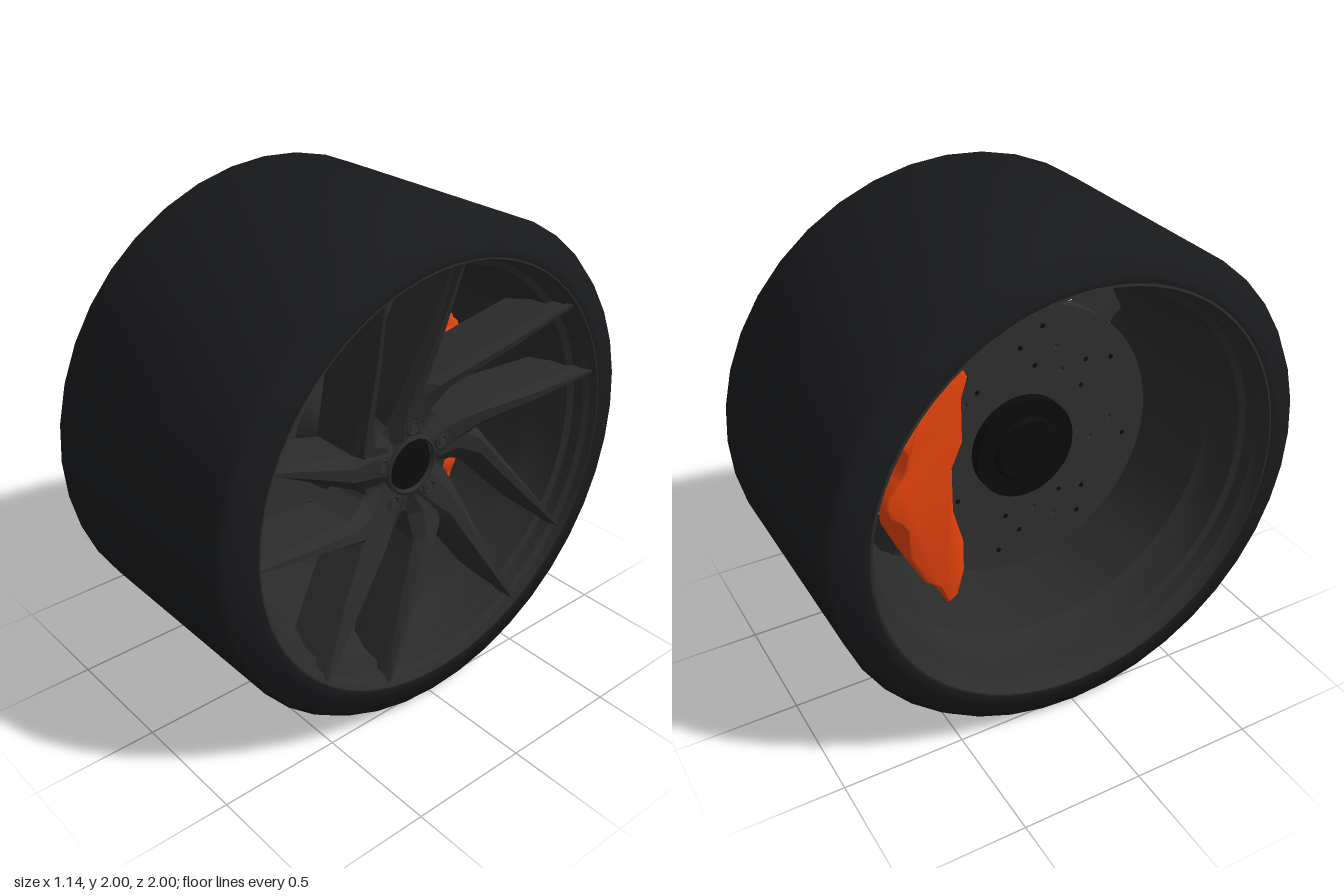
import * as THREE from 'three';
import { toCreasedNormals } from 'three/addons/utils/BufferGeometryUtils.js';

const mat = (color, side = THREE.FrontSide) => new THREE.MeshStandardMaterial({ color, side });
const V2 = (p) => new THREE.Vector2(p[0], p[1]);

function add(parent, name, geometry, material, x = 0, y = 0, z = 0) {
  const mesh = new THREE.Mesh(geometry, material);
  mesh.name = name;
  mesh.position.set(x, y, z);
  parent.add(mesh);
  return mesh;
}

// Revolved profile of [radius, axial] points around the z axis
function revolve(points, sides, crease = 0.6) {
  const g = new THREE.LatheGeometry(points.map(V2), sides).rotateX(Math.PI / 2);
  return toCreasedNormals(g, crease);
}

// Cylinder along z, spanning back to front
function drum(radius, back, front, sides = 32, radiusBack = radius) {
  return new THREE.CylinderGeometry(radius, radiusBack, front - back, sides)
    .rotateX(Math.PI / 2).translate(0, 0, (front + back) / 2);
}

// Chamfered blade through stations [leftX, leftY, rightX, rightY, front, back]
function blade(stations) {
  const pos = [];
  const rings = stations.map(([lx, ly, rx, ry, f, b]) => {
    const at = (t, z) => [lx + (rx - lx) * t, ly + (ry - ly) * t, z];
    return [at(0.05, b), at(0, f - 0.035), at(0.3, f), at(0.7, f), at(1, f - 0.035), at(0.95, b)];
  });
  for (let s = 0; s < rings.length - 1; s++) {
    const a = rings[s], c = rings[s + 1];
    for (let i = 0; i < 6; i++) {
      const j = (i + 1) % 6;
      pos.push(...a[i], ...a[j], ...c[i], ...a[j], ...c[j], ...c[i]);
    }
  }
  const g = new THREE.BufferGeometry();
  g.setAttribute('position', new THREE.Float32BufferAttribute(pos, 3));
  return toCreasedNormals(g, 0.3);
}

export function createModel() {
  const model = new THREE.Group();
  model.name = 'wheel';
  // Built facing +z, then turned so the spoked face looks along +x
  const wheel = new THREE.Group();
  wheel.name = 'wheelAssembly';
  wheel.position.y = 1;
  wheel.rotation.y = Math.PI / 2;
  model.add(wheel);

  const rubber = mat(0x191a1c, THREE.DoubleSide);
  const alloy = mat(0x2b2b2b);
  const alloyOpen = mat(0x2b2b2b, THREE.DoubleSide);
  const steel = mat(0x2f2f2f);
  const black = mat(0x0c0c0c);
  const orange = mat(0xe5430d);

  // Tyre: tread, shoulders and sidewalls
  const side = [[1, 0.5], [0.975, 0.54], [0.9, 0.556], [0.885, 0.568], [0.858, 0.565]];
  const tyreProfile = [...side.map(([r, z]) => [r, -z]).reverse(), ...side];
  add(wheel, 'tyre', revolve(tyreProfile, 40, 1.2), rubber);

  // Rim barrel with stepped lips and bead seats
  add(wheel, 'rimBarrel', revolve([
    [0.86, -0.565], [0.85, -0.568], [0.842, -0.53], [0.825, -0.51], [0.82, -0.46], [0.795, -0.445],
    [0.785, -0.34], [0.765, -0.3], [0.757, -0.29], [0.757, 0.26], [0.765, 0.3], [0.798, 0.38],
    [0.803, 0.45], [0.828, 0.465], [0.832, 0.51], [0.85, 0.53], [0.853, 0.566], [0.86, 0.565],
  ], 64), alloyOpen);

  // Five hub arms, each splitting into a straight and a swept spoke
  const straight = blade([
    [-0.1, 0.1, 0.1, 0.1, 0.375, 0.17], [-0.105, 0.2, 0.09, 0.22, 0.385, 0.17],
    [-0.078, 0.32, 0.052, 0.34, 0.42, 0.18], [-0.01, 0.58, 0.067, 0.58, 0.485, 0.24],
    [0.056, 0.852, 0.08, 0.852, 0.545, 0.31],
  ]);
  const swept = blade([
    [-0.06, 0.16, 0.12, 0.13, 0.37, 0.17], [-0.03, 0.29, 0.13, 0.2, 0.385, 0.17],
    [0.05, 0.335, 0.19, 0.285, 0.42, 0.18], [0.365, 0.437, 0.425, 0.39, 0.485, 0.24],
    [0.674, 0.54, 0.692, 0.515, 0.545, 0.31],
  ]);
  for (let i = 0; i < 5; i++) {
    const arm = new THREE.Group();
    arm.name = 'spokePair';
    arm.rotation.z = (i * Math.PI * 2) / 5;
    wheel.add(arm);
    add(arm, 'straightSpoke', straight, alloy);
    add(arm, 'sweptSpoke', swept, alloy);
    add(arm, 'boltSeat', new THREE.TorusGeometry(0.026, 0.007, 6, 16), alloy, 0, 0.16, 0.38);
    add(arm, 'wheelBolt', drum(0.017, 0.35, 0.388, 6), steel, 0, 0.16, 0);
  }

  // Five-sided hub with flat pocket walls, and centre cap
  const hub = add(wheel, 'hub', toCreasedNormals(drum(0.265, 0.14, 0.35, 5, 0.29), 0.3), alloy);
  hub.rotation.z = Math.PI;
  add(wheel, 'hubRing', revolve([[0.125, 0.33], [0.122, 0.382], [0.112, 0.387], [0.1, 0.365]], 32), alloyOpen);
  add(wheel, 'centreCap', drum(0.103, 0.32, 0.372), black);

  // Brake disc, with some holes drilled through and the rest left blind
  const discShape = new THREE.Shape().absarc(0, 0, 0.59, 0, Math.PI * 2);
  const drillRows = [
    { r: 0.336, through: [4, 11, 17, 23, 30], first: 1 },
    { r: 0.42, through: [5, 10, 16, 22], first: 0 },
    { r: 0.5, through: [], first: 1 },
  ];
  for (const { r, through, first } of drillRows) {
    for (let i = 0; i < 32; i++) {
      const a = (i * Math.PI) / 16;
      const x = r * Math.cos(a), y = r * Math.sin(a);
      if (through.includes(i)) {
        discShape.holes.push(new THREE.Path().absarc(x, y, 0.012, 0, Math.PI * 2, true));
      } else if (i % 4 === first) {
        add(wheel, 'blindHole', drum(0.011, -0.081, -0.009, 8), black, x, y);
      }
    }
  }
  const disc = new THREE.ExtrudeGeometry(discShape, { depth: 0.07, bevelEnabled: false, curveSegments: 24 });
  add(wheel, 'brakeDisc', toCreasedNormals(disc, 0.6), steel, 0, 0, -0.08);
  add(wheel, 'discHat', drum(0.24, -0.03, 0.15, 32, 0.26), steel);
  add(wheel, 'axleHub', drum(0.17, -0.15, -0.08, 32, 0.13), black);
  add(wheel, 'hubFlange', drum(0.215, -0.13, -0.07), black);

  // Brake caliper: body, rounded face and piston bosses
  const caliper = new THREE.Group();
  caliper.name = 'brakeCaliper';
  wheel.add(caliper);
  const bodyPoints = [
    [0.35, 0.52], [0.385, 0.52], [0.41, 0.47], [0.48, 0.42], [0.53, 0.36], [0.555, 0.26], [0.575, 0.24],
    [0.55, 0.21], [0.565, 0.13], [0.59, 0.09], [0.635, 0.04], [0.645, 0], [0.635, -0.04], [0.59, -0.08],
    [0.565, -0.12], [0.56, -0.25], [0.5, -0.385], [0.44, -0.43], [0.41, -0.51], [0.38, -0.49],
    [0.35, -0.38], [0.35, -0.25], [0.39, -0.1], [0.39, 0.1], [0.345, 0.2], [0.345, 0.38], [0.32, 0.46],
  ];
  const facePoints = [
    [0.37, 0.38], [0.44, 0.4], [0.49, 0.36], [0.515, 0.24], [0.53, 0.08], [0.53, -0.08], [0.515, -0.24],
    [0.48, -0.35], [0.43, -0.39], [0.38, -0.36], [0.38, -0.22], [0.42, -0.1], [0.42, 0.1], [0.37, 0.22],
  ];
  const slab = (points, depth, bevel) => toCreasedNormals(new THREE.ExtrudeGeometry(
    new THREE.Shape(points.map(V2)),
    { depth, bevelThickness: bevel, bevelSize: bevel / 2, bevelSegments: 3 }), 0.8);
  add(caliper, 'caliperBody', slab(bodyPoints, 0.25, 0.02), orange, 0, 0, -0.23);
  add(caliper, 'caliperFace', slab(facePoints, 0.05, 0.03), orange, 0, 0, 0.03);
  const boss = revolve([[0.095, 0.05], [0.088, 0.1], [0.06, 0.13], [0, 0.138]], 24, 1);
  for (const y of [0.28, -0.25]) add(caliper, 'pistonBoss', boss, orange, 0.435, y);
  for (const s of [1, -1]) {
    add(caliper, 'caliperBolt', drum(0.02, 0.02, 0.06, 6), orange, 0.37, s * 0.46);
  }
  return model;
}
